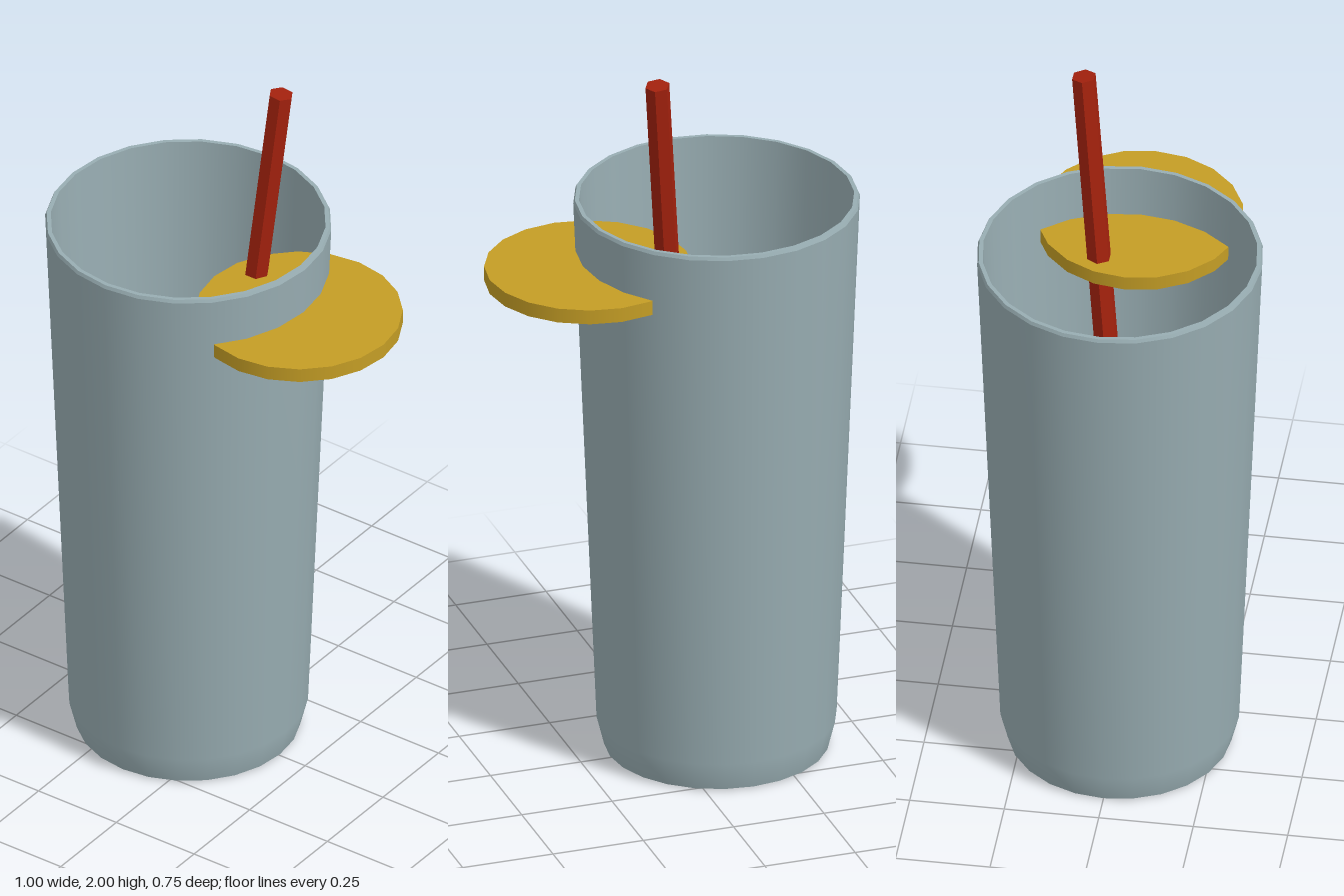
import * as THREE from 'three';

export function createModel() {
  const mat = (name, color, opts = {}) => {
    const m = new THREE.MeshStandardMaterial({ color, ...opts });
    m.name = name;
    return m;
  };
  const glassMat = mat('greyBlueGlass', 0x98adb2);
  const yellow = mat('lemonYellow', 0xc49d25);
  const red = mat('strawRed', 0xa3210d, { flatShading: true });

  const model = new THREE.Group();
  model.name = 'drinkWithStraw';
  const add = (parent, name, geometry, material) => {
    const mesh = new THREE.Mesh(geometry, material);
    mesh.name = name;
    parent.add(mesh);
    return mesh;
  };

  // Tumbler: hollow, one lathe per surface so the rim and base edges stay sharp
  const glass = new THREE.Group();
  glass.name = 'glass';
  glass.position.x = -0.126;
  model.add(glass);
  const surfaces = {
    glassBase: [[0, 0.005], [0.295, 0.005]],
    glassOuterWall: [[0.295, 0.005], [0.315, 0.085], [0.376, 1.577]],
    glassRimBevel: [[0.376, 1.577], [0.372, 1.586]],
    glassRim: [[0.372, 1.586], [0.361, 1.586]],
    glassInnerWall: [[0.361, 1.586], [0.303, 0.09]],
    glassFloor: [[0.303, 0.09], [0, 0.09]],
  };
  for (const [name, pts] of Object.entries(surfaces)) {
    const profile = pts.map(([r, y]) => new THREE.Vector2(r, y));
    add(glass, name, new THREE.LatheGeometry(profile, 24), glassMat);
  }

  // Lemon slice pushed through the wall
  const lemon = add(model, 'lemonSlice', new THREE.CylinderGeometry(0.272, 0.272, 0.04, 20), yellow);
  lemon.position.set(0.23, 1.42, 0);

  // Six-sided straw, with a slight bend inside the glass
  const up = new THREE.Vector3(0, 1, 0);
  const path = [[-0.008, 0.002, -0.036], [0.018, 1.2, -0.06], [0.082, 1.997, -0.127]]
    .map((p) => new THREE.Vector3(...p));
  ['strawLower', 'strawUpper'].forEach((name, i) => {
    const dir = path[i + 1].clone().sub(path[i]);
    const geo = new THREE.CylinderGeometry(0.033, 0.033, dir.length(), 6).rotateY(Math.PI / 6);
    const straw = add(model, name, geo, red);
    straw.position.copy(path[i]).addScaledVector(dir, 0.5);
    straw.quaternion.setFromUnitVectors(up, dir.normalize());
  });

  return model;
}
